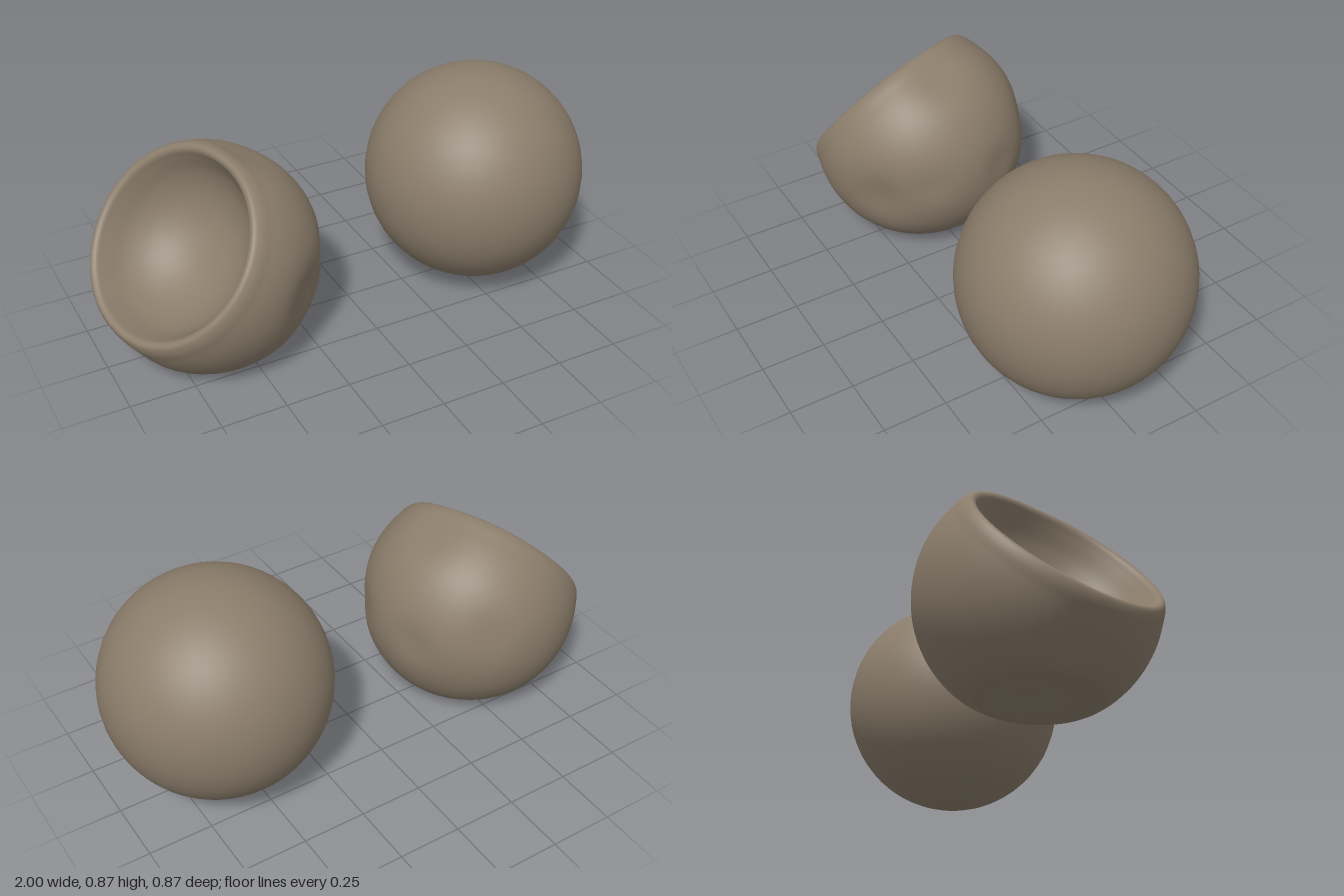
import * as THREE from 'three';
import { mergeVertices } from 'three/addons/utils/BufferGeometryUtils.js';

const CENTRE = new THREE.Vector3(-0.587, 0.37, 0);
const OPENING = new THREE.Vector3(-0.735, 0.62, 0.28).normalize();
const RADIUS = 0.432;

// Soft dents in the outer skin: direction from the bowl's centre, depth, angular width
const DENTS = [
  [0.06, -1, -0.12, 0.045, 0.34],
  [0.28, -0.06, 0.34, 0.03, 0.28],
  [0.2, 0.4, 0, 0.018, 0.26],
  [0.4, 0.02, -0.16, 0.012, 0.18],
  [0.4, 0.02, 0.16, 0.01, 0.18],
  [0.2, 0.1, -0.4, 0.01, 0.22],
  [-0.35, -0.3, 0.05, 0.014, 0.25],
].map(([x, y, z, depth, width]) => ({ dir: new THREE.Vector3(x, y, z).normalize(), depth, width }));

// Round outer wall, soft lip, then the pushed-in cap
function bowlProfile() {
  const pts = [];
  const top = Math.asin(0.15 / RADIUS);
  for (let i = 0; i < 36; i++) {
    const a = -Math.PI / 2 + (top + Math.PI / 2) * i / 36;
    pts.push(new THREE.Vector2(RADIUS * Math.cos(a), RADIUS * Math.sin(a)));
  }
  pts[0].x = 0;
  const inner = new THREE.SplineCurve([
    [0.405, 0.15], [0.392, 0.187], [0.371, 0.213], [0.348, 0.208], [0.33, 0.175], [0.294, 0.105],
    [0.237, 0.04], [0.16, -0.01], [0.08, -0.035], [0, -0.042],
  ].map(([x, y]) => new THREE.Vector2(x, y)));
  return pts.concat(inner.getPoints(54));
}

function bowlGeometry() {
  let geo = new THREE.LatheGeometry(bowlProfile(), 80);
  geo.applyQuaternion(new THREE.Quaternion().setFromUnitVectors(new THREE.Vector3(0, 1, 0), OPENING));
  const pos = geo.attributes.position;
  const v = new THREE.Vector3();
  const dir = new THREE.Vector3();
  for (let i = 0; i < pos.count; i++) {
    v.fromBufferAttribute(pos, i);
    dir.copy(v).normalize();
    const skin = THREE.MathUtils.smoothstep(v.length(), 0.36, 0.425);
    // Flattened resting base, then the dents
    v.y = Math.max(v.y, -CENTRE.y);
    for (const d of DENTS) {
      const angle = dir.angleTo(d.dir);
      v.addScaledVector(dir, -skin * d.depth * Math.exp(-((angle / d.width) ** 2)));
    }
    v.add(CENTRE);
    pos.setXYZ(i, v.x, v.y, v.z);
  }
  geo.deleteAttribute('uv');
  geo.deleteAttribute('normal');
  geo = mergeVertices(geo, 1e-5);
  geo.computeVertexNormals();
  return geo;
}

export function createModel() {
  const group = new THREE.Group();
  const clay = new THREE.MeshStandardMaterial({ color: 0x8b7d6b });
  clay.name = 'clay brown';

  // Ball with one side pushed in, tipped over
  const bowl = new THREE.Mesh(bowlGeometry(), clay);
  bowl.name = 'collapsedBall';
  group.add(bowl);

  // Plain ball
  const ball = new THREE.Mesh(new THREE.SphereGeometry(0.433, 48, 32), clay);
  ball.name = 'ball';
  ball.position.set(0.567, 0.438, 0);
  group.add(ball);

  return group;
}
